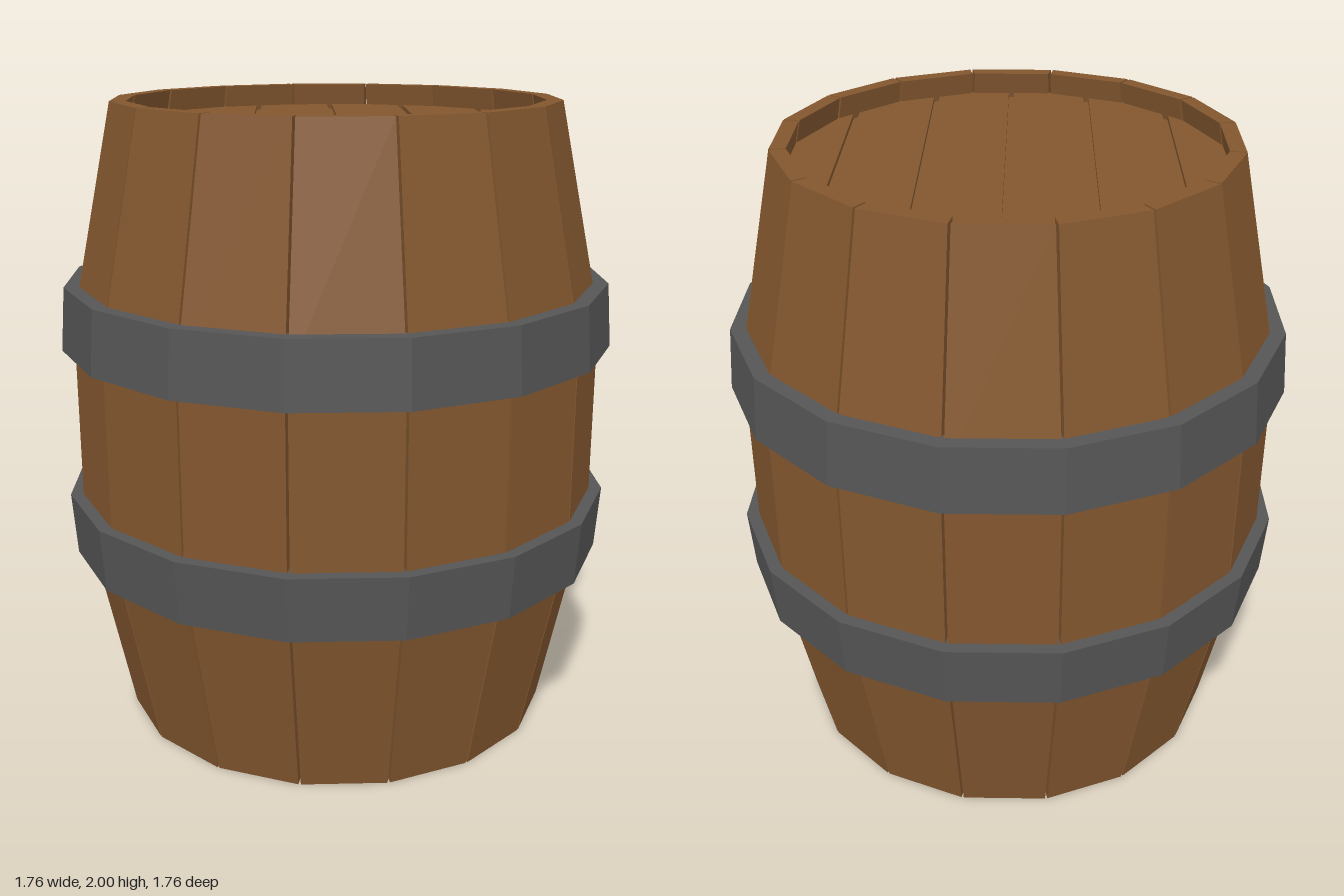
import * as THREE from 'three';

const SIDES = 16;
const STEP = (Math.PI * 2) / SIDES;

// Split shared vertices so every facet is flat
function faceted(geometry) {
  const g = geometry.toNonIndexed();
  g.computeVertexNormals();
  return g;
}

// One bent plank: a box whose rows follow the bulging barrel profile
function staveGeometry() {
  const profile = [[0, 0.70], [0.67, 0.84], [1.33, 0.84], [2, 0.70]];
  const thickness = 0.05, halfGap = 0.004;
  const g = new THREE.BoxGeometry(1, 1, 1, 1, 3, 1);
  const p = g.attributes.position;
  for (let i = 0; i < p.count; i++) {
    const side = Math.sign(p.getX(i));
    const [y, outer] = profile[Math.round((p.getY(i) + 0.5) * 3)];
    const r = p.getZ(i) > 0 ? outer : outer - thickness;
    const a = (side * STEP) / 2;
    p.setXYZ(i, r * Math.sin(a) - side * halfGap, y, r * Math.cos(a));
  }
  return faceted(g);
}

// Hoop with a slightly conical outside, wider towards the barrel's middle
function hoopGeometry() {
  const points = [[0.80, 1.24], [0.88, 1.24], [0.865, 1.44], [0.80, 1.44], [0.80, 1.24]];
  return faceted(new THREE.LatheGeometry(points.map(([r, y]) => new THREE.Vector2(r, y)), SIDES));
}

// Keep the part of a convex outline where sign * x >= sign * limit
function clip(outline, limit, sign) {
  const out = [];
  outline.forEach((a, i) => {
    const b = outline[(i + 1) % outline.length];
    const da = sign * (a.x - limit), db = sign * (b.x - limit);
    if (da >= 0) out.push(a);
    if (da * db < 0) out.push(a.clone().lerp(b, da / (da - db)));
  });
  return out;
}

// Round end made of diagonal boards on a thin backing that fills the grooves
function createLid(material) {
  const lid = new THREE.Group();
  const radius = 0.675, width = 0.25, gap = 0.018, turn = -STEP * 1.5;
  const outline = [];
  for (let i = 0; i < SIDES; i++) {
    const a = i * STEP - turn;
    outline.push(new THREE.Vector2(radius * Math.cos(a), radius * Math.sin(a)));
  }
  for (let i = -3; i < 3; i++) {
    const strip = clip(clip(outline, i * width + gap / 2, 1), (i + 1) * width - gap / 2, -1);
    const g = new THREE.ExtrudeGeometry(new THREE.Shape(strip), { depth: 0.04, bevelEnabled: false });
    g.rotateZ(turn).rotateX(-Math.PI / 2).translate(0, 0.89, 0);
    const board = new THREE.Mesh(g, material);
    board.name = 'lidBoard';
    lid.add(board);
  }
  const backing = new THREE.Mesh(faceted(new THREE.CylinderGeometry(0.67, 0.67, 0.03, SIDES)), material);
  backing.name = 'lidBacking';
  backing.position.y = 0.9;
  lid.add(backing);
  return lid;
}

export function createModel() {
  const wood = new THREE.MeshStandardMaterial({ color: 0x83572f });
  wood.name = 'brown wood';
  const iron = new THREE.MeshStandardMaterial({ color: 0x555555 });
  iron.name = 'dark iron';

  const barrel = new THREE.Group();
  barrel.name = 'barrel';

  // Ring of staves
  const staves = new THREE.Group();
  staves.name = 'staves';
  const staveShape = staveGeometry();
  for (let i = 0; i < SIDES; i++) {
    const stave = new THREE.Mesh(staveShape, wood);
    stave.name = 'stave';
    stave.rotation.y = (i + 0.5) * STEP;
    staves.add(stave);
  }
  barrel.add(staves);

  // Hoops and lids, the lower ones turned over about the middle
  const hoopShape = hoopGeometry();
  for (const [prefix, angle] of [['upper', 0], ['lower', Math.PI]]) {
    const end = new THREE.Group();
    end.name = prefix + 'End';
    end.position.y = 1;
    end.rotation.x = angle;
    const hoop = new THREE.Mesh(hoopShape, iron);
    hoop.name = prefix + 'Hoop';
    hoop.position.y = -1;
    const lid = createLid(wood);
    lid.name = prefix + 'Lid';
    end.add(hoop, lid);
    barrel.add(end);
  }
  return barrel;
}
